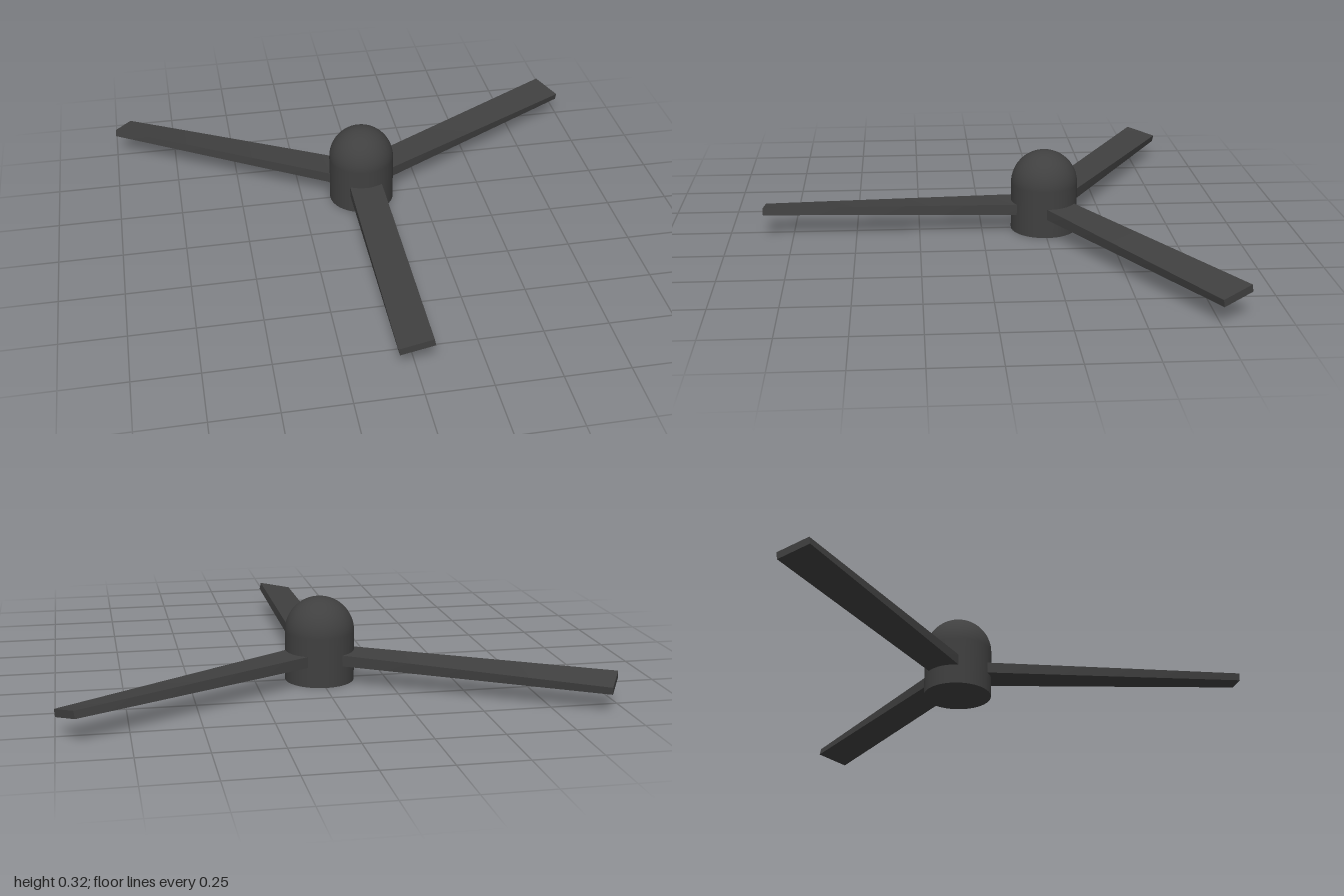
import * as THREE from 'three';

const HUB_R = 0.132, HUB_H = 0.19, HUB_Z = -0.25;
const ROOT_R = 0.08, TIP_R = 1.115, BLADE_W = 0.132, BLADE_Y = 0.0975;

// Blade along +z: thins and twists from the flat root to the pitched tip
function bladeGeometry() {
  const length = TIP_R - ROOT_R;
  const geo = new THREE.BoxGeometry(BLADE_W, 1, length, 1, 1, 8);
  geo.translate(0, 0, ROOT_R + length / 2);
  const pos = geo.attributes.position;
  for (let i = 0; i < pos.count; i++) {
    const t = (pos.getZ(i) - ROOT_R) / length;
    const x = pos.getX(i);
    const y = pos.getY(i) * THREE.MathUtils.lerp(0.043, 0.028, t);
    const a = THREE.MathUtils.degToRad(11.5) * t;
    pos.setXY(i, x * Math.cos(a) - y * Math.sin(a), x * Math.sin(a) + y * Math.cos(a));
  }
  geo.computeVertexNormals();
  return geo;
}

export function createModel() {
  const material = new THREE.MeshStandardMaterial({ color: 0x404040 });
  const model = new THREE.Group();
  model.name = 'propeller';

  // Hub: closed cylinder with a hemispherical cap
  const hub = new THREE.Mesh(new THREE.CylinderGeometry(HUB_R, HUB_R, HUB_H, 48), material);
  hub.name = 'hub';
  hub.position.set(0, HUB_H / 2, HUB_Z);
  const dome = new THREE.Mesh(
    new THREE.SphereGeometry(HUB_R, 48, 16, 0, Math.PI * 2, 0, Math.PI / 2), material);
  dome.name = 'hubDome';
  dome.position.set(0, HUB_H, HUB_Z);
  model.add(hub, dome);

  // Three blades evenly spaced around the hub
  const geo = bladeGeometry();
  for (let i = 0; i < 3; i++) {
    const blade = new THREE.Mesh(geo, material);
    blade.name = `blade${i + 1}`;
    blade.position.set(0, BLADE_Y, HUB_Z);
    blade.rotation.y = (i * Math.PI * 2) / 3;
    model.add(blade);
  }
  return model;
}
